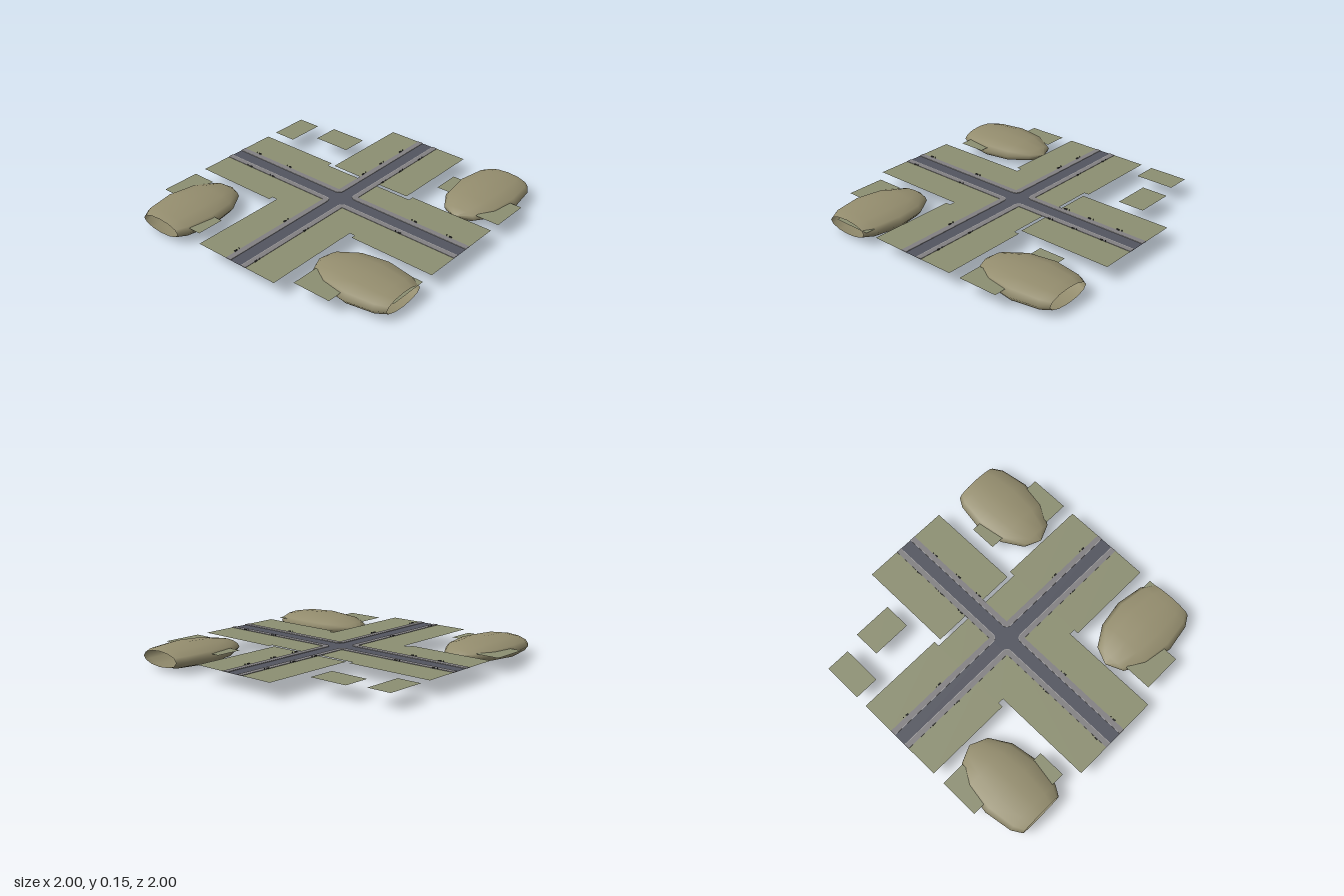
import * as THREE from 'three';

const mat = (color) => new THREE.MeshStandardMaterial({ color, side: THREE.DoubleSide });
const lawnMat = mat(0x8c8f72), moundMat = mat(0x948d6e), roadMat = mat(0x53555f);
const walkMat = mat(0x828082), curbMat = mat(0xa09e9e), darkMat = mat(0x3a3b38);

const GROUND = 0.106, ROAD = 0.105, WALK = 0.109;
const R = 0.045; // road half width
const W = 0.085; // outer edge of the pavement

export function createModel() {
  const root = new THREE.Group();

  const add = (name, geo, material, x = 0, y = 0, z = 0) => {
    const mesh = new THREE.Mesh(geo, material);
    mesh.name = name;
    mesh.position.set(x, y, z);
    root.add(mesh);
    return mesh;
  };
  // Flat rectangle given by its edges
  const sheet = (name, x0, x1, z0, z1, y, material) =>
    add(name, new THREE.PlaneGeometry(x1 - x0, z1 - z0).rotateX(-Math.PI / 2),
      material, (x0 + x1) / 2, y, (z0 + z1) / 2);

  // Lawns: a full centre slab and strips on both sides of each arm
  sheet('centreLawn', -0.365, 0.365, -0.29, 0.285, 0.1035, lawnMat);
  for (const s of [-1, 1]) {
    const span = (a, b) => (s > 0 ? [a, b] : [-b, -a]);
    sheet('centreLawnTop', ...span(W, 0.365), -0.29, -W, GROUND, lawnMat);
    sheet('centreLawnTop', ...span(W, 0.365), W, 0.285, GROUND, lawnMat);
    sheet('sideLawn', ...span(0.365, 1), -0.33, -W, GROUND, lawnMat);
    sheet('sideLawn', ...span(0.365, 1), W, 0.32, GROUND, lawnMat);
    sheet('backLawn', ...span(W, 0.325), -1, -0.315, GROUND, lawnMat);
    sheet('frontLawn', ...span(W, 0.325), 0.285, 1, GROUND, lawnMat);
  }

  // Crossing roads and their junction
  sheet('junction', -W, W, -W, W, ROAD, roadMat);
  for (const s of [-1, 1]) {
    const [a, b] = s > 0 ? [W, 1] : [-1, -W];
    sheet('sideRoad', a, b, -R, R, ROAD, roadMat);
    sheet('longRoad', -R, R, a, b, ROAD, roadMat);
  }

  // L-shaped pavement with a rounded kerb corner, one per quadrant
  const band = (inner, outer) => {
    const r = W - R, c = W;
    const shape = new THREE.Shape();
    shape.moveTo(1, inner);
    shape.lineTo(c, inner);
    shape.absarc(c, c, r - (inner - R), -Math.PI / 2, Math.PI, true);
    shape.lineTo(inner, 1);
    shape.lineTo(outer, 1);
    if (outer < W) {
      shape.lineTo(outer, c);
      shape.absarc(c, c, r - (outer - R), Math.PI, -Math.PI / 2, false);
    } else {
      shape.lineTo(outer, outer);
    }
    shape.lineTo(1, outer);
    shape.closePath();
    return new THREE.ExtrudeGeometry(shape, {
      depth: WALK - ROAD, bevelEnabled: false, curveSegments: 6,
    }).rotateX(-Math.PI / 2);
  };
  const walkGeo = band(R + 0.004, W), kerbGeo = band(R, R + 0.004);
  for (let i = 0; i < 4; i++) {
    add('pavement', walkGeo, walkMat, 0, ROAD, 0).rotation.y = i * Math.PI / 2;
    add('kerb', kerbGeo, curbMat, 0, ROAD, 0).rotation.y = i * Math.PI / 2;
  }

  // Separate plots in the four quadrants
  for (const sx of [-1, 1]) {
    const span = (a, b) => (sx > 0 ? [a, b] : [-b, -a]);
    sheet('backOuterPlot', ...span(0.825, 1), -0.7, -0.415, GROUND, lawnMat);
    sheet('backInnerPlot', ...span(0.415, 0.7), -0.745, -0.55, GROUND, lawnMat);
    sheet('frontOuterPlot', ...span(0.825, 1), 0.41, 0.695, GROUND, lawnMat);
    sheet('frontInnerPlot', ...span(0.415, 0.695), 0.72, 0.92, GROUND, lawnMat);
  }

  // Flattened egg-shaped mounds, cut open at the border
  const a = 0.39, w = 0.24, h = 0.077;
  const mound = (x, z, yaw, cut) => {
    const profile = [0, 30, 60, 90, 120].map((d) => {
      const t = THREE.MathUtils.degToRad(d);
      return new THREE.Vector2(w * Math.sin(t), -a * Math.cos(t));
    });
    const k = (cut - a * 0.5) / (a * (0.866 - 0.5));
    profile.push(new THREE.Vector2(w * (0.866 - 0.366 * k), cut));
    // Turn the lathe axis to +z so the open end faces outward
    const geo = new THREE.LatheGeometry(profile, 12).rotateX(Math.PI / 2);
    const mesh = add('mound', geo, moundMat, x, 0.082, z);
    mesh.scale.y = h / w;
    mesh.rotation.y = yaw;
  };
  mound(-0.7, 0.735, 0, 0.265);
  mound(0.7, -0.74, Math.PI, 0.26);
  mound(0.73, 0.6, Math.PI / 2, 0.27);

  // Tiny benches and bins along the pavement edges
  const benchGeo = new THREE.BoxGeometry(0.008, 0.007, 0.02);
  const binGeo = new THREE.CylinderGeometry(0.003, 0.003, 0.01, 6);
  const furniture = (x, z, alongX) => {
    add('bench', benchGeo, darkMat, x, WALK + 0.0035, z).rotation.y = alongX ? Math.PI / 2 : 0;
    add('bin', binGeo, darkMat, x - (alongX ? 0.03 : 0), WALK + 0.005, z - (alongX ? 0 : 0.03));
  };
  for (const s of [-1, 1]) {
    for (const z of [-0.78, -0.55, -0.35, 0.46, 0.91]) furniture(s * 0.088, z, false);
  }
  for (const x of [-0.85, -0.55, 0.57, 0.85]) furniture(x, -0.09, true);
  for (const x of [-0.77, -0.55, 0.57]) furniture(x, 0.086, true);

  return root;
}
